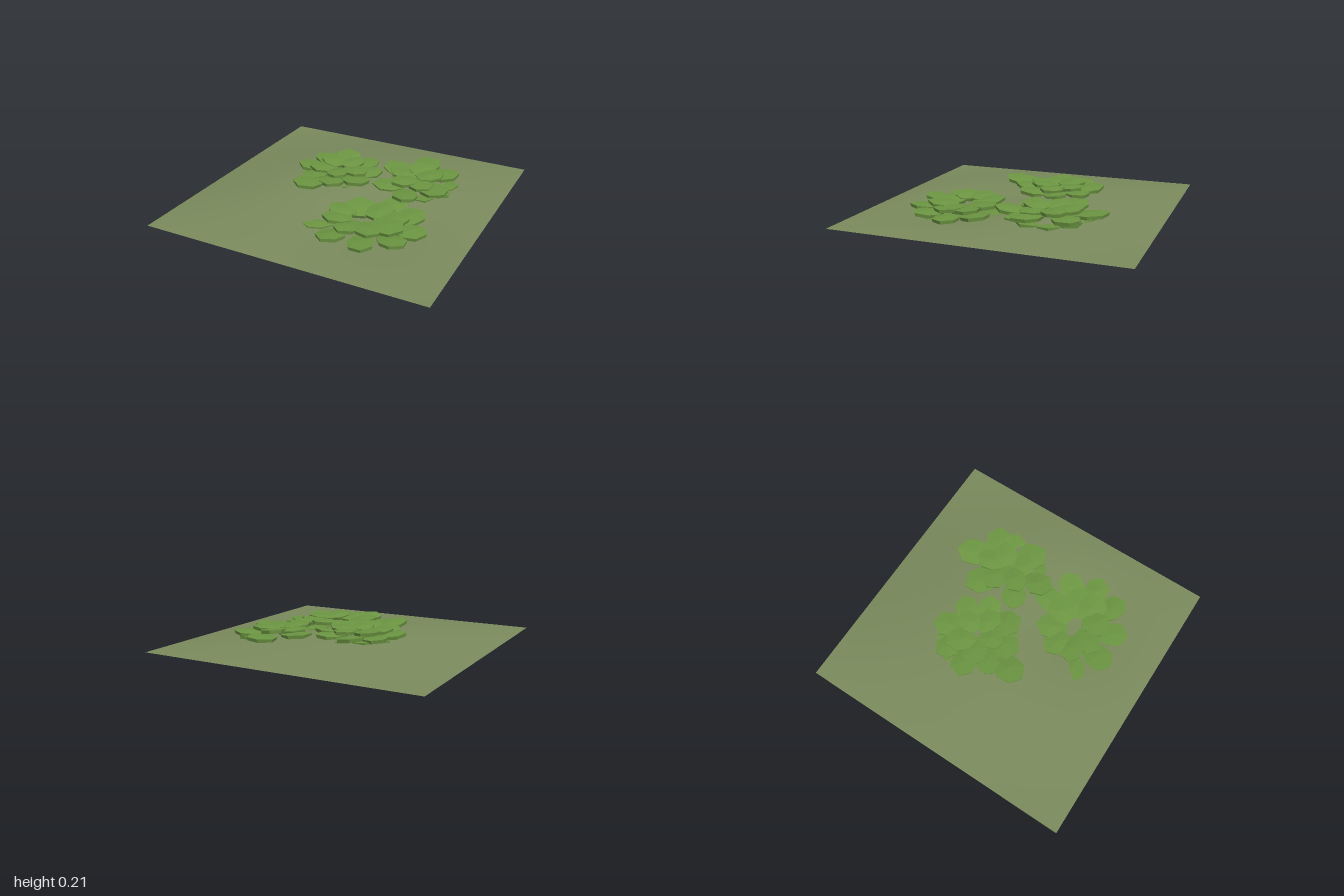
import * as THREE from 'three';

const leafMaterial = new THREE.MeshStandardMaterial({ color: 0x6c9642, flatShading: true });
const groundMaterial = new THREE.MeshStandardMaterial({ color: 0x7a8a5c, side: THREE.DoubleSide });

// Repeatable variation in the range -1..1
const vary = (i, k) => {
  const s = Math.sin(i * 12.99 + k * 78.23) * 437.58;
  return (s - Math.floor(s)) * 2 - 1;
};

// Ground height: a broad mound, hollowed out towards the front left corner
function groundHeight(x, z) {
  const edge = Math.cos(x * Math.PI / 2) * Math.cos(z * Math.PI / 2);
  const hollow = Math.exp(-((x - 0.4) ** 2 + (z - 0.45) ** 2) / 0.28);
  return 0.07 + edge * 0.115 * (1 - 0.92 * hollow);
}

function makeGround() {
  const geo = new THREE.PlaneGeometry(2, 2, 32, 32).rotateX(-Math.PI / 2);
  const p = geo.attributes.position;
  for (let i = 0; i < p.count; i++) p.setY(i, groundHeight(p.getX(i), p.getZ(i)));
  geo.computeVertexNormals();
  const mesh = new THREE.Mesh(geo, groundMaterial);
  mesh.name = 'ground';
  return mesh;
}

// Thick seven-sided leaf pointing along +z, one unit in radius, slightly domed
function makeLeafGeometry() {
  const geo = new THREE.CylinderGeometry(1, 0.93, 0.024, 7, 1);
  const p = geo.attributes.position;
  for (let i = 0; i < p.count; i++) {
    const x = p.getX(i), z = p.getZ(i);
    if (Math.hypot(x, z) < 0.1) {
      if (p.getY(i) > 0) p.setY(i, 0.02);
      continue;
    }
    const side = Math.round((Math.atan2(x, z) / (Math.PI * 2)) * 7 + 7) % 7;
    const reach = side === 0 ? 1.08 : 0.93 + 0.07 * Math.sin(side * 2.3);
    p.setX(i, x * reach * 0.92);
    p.setZ(i, z * reach);
  }
  geo.computeVertexNormals();
  return geo;
}
const leafGeometry = makeLeafGeometry();

function makeLeaf(name, x, y, z, size, yaw, tilt, roll) {
  const leaf = new THREE.Mesh(leafGeometry, leafMaterial);
  leaf.name = name;
  leaf.position.set(x, y, z);
  leaf.rotation.set(-tilt, yaw, roll, 'YXZ');
  leaf.scale.set(size, 1, size);
  return leaf;
}

// Upper leaves sit on oval arcs; angles in degrees run from the front (+z) towards +x
const plants = [
  {
    name: 'backRightPlant', x: -0.17, z: -0.18, base: 0.1, spread: 0.72,
    arcs: [
      { count: 8, rx: 0.21, rz: 0.2, start: 10, step: 45, y: 0.168, size: 0.112 },
      { count: 1, rx: 0.32, rz: 0.33, start: -16, step: 0, y: 0.178, size: 0.12 },
      { count: 5, rx: 0.12, rz: 0.1, start: -60, step: 72, y: 0.183, size: 0.1 },
    ],
  },
  {
    name: 'backLeftPlant', x: 0.38, z: -0.3, base: 0.075, spread: 0.78,
    arcs: [
      { count: 6, rx: 0.18, rz: 0.26, start: -110, step: 59, y: 0.148, size: 0.12 },
      { count: 5, rx: 0.09, rz: 0.12, start: -30, step: 72, y: 0.165, size: 0.108 },
    ],
  },
  {
    name: 'frontLeftPlant', x: 0.28, z: 0.35, base: 0.018, spread: 1,
    arcs: [
      { count: 9, rx: 0.32, rz: 0.27, start: -130, step: 37, y: 0.1, size: 0.118 },
      { count: 8, rx: 0.18, rz: 0.14, start: -60, step: 45, y: 0.124, size: 0.114 },
    ],
  },
];

function makePlant(plant, index) {
  const group = new THREE.Group();
  group.name = plant.name;

  // Upper leaves, each pointing away from the centre and rising a little
  plant.arcs.forEach(({ count, rx, rz, start, step, y, size }, arc) => {
    for (let i = 0; i < count; i++) {
      const k = index * 40 + arc * 12 + i;
      const angle = THREE.MathUtils.degToRad(start + i * step);
      group.add(makeLeaf('upperLeaf',
        plant.x + Math.sin(angle) * rx, y + vary(k, 6) * 0.006, plant.z + Math.cos(angle) * rz,
        size * (1 + vary(k, 7) * 0.1), angle + vary(k, 1) * 0.3, 0.09 + vary(k, 2) * 0.06, vary(k, 3) * 0.08));
    }
  });

  // Nested rings of lower leaves forming a shallow bowl
  const rings = [
    { count: 1, radius: 0, lift: 0, tilt: 0 },
    { count: 8, radius: 0.14, lift: 0.004, tilt: 0.03 },
    { count: 10, radius: 0.25, lift: 0.032, tilt: 0.13 },
  ];
  rings.forEach(({ count, radius, lift, tilt }, ring) => {
    for (let i = 0; i < count; i++) {
      const yaw = (i / count) * Math.PI * 2 + ring * 0.3;
      const r = radius * plant.spread;
      group.add(makeLeaf('lowerLeaf',
        plant.x + Math.sin(yaw) * r, plant.base + lift + (i % 2) * 0.005, plant.z + Math.cos(yaw) * r,
        0.12 * Math.sqrt(plant.spread), yaw, tilt, vary(index * 90 + i, 5) * 0.02 * ring));
    }
  });
  return group;
}

export function createModel() {
  const model = new THREE.Group();
  model.name = 'leafyGroundPatch';
  model.add(makeGround());
  plants.forEach((plant, i) => model.add(makePlant(plant, i)));

  // Rest the lowest leaf on y = 0
  const bottom = new THREE.Box3().setFromObject(model, true).min.y;
  model.children.forEach((part) => { part.position.y -= bottom; });
  return model;
}
